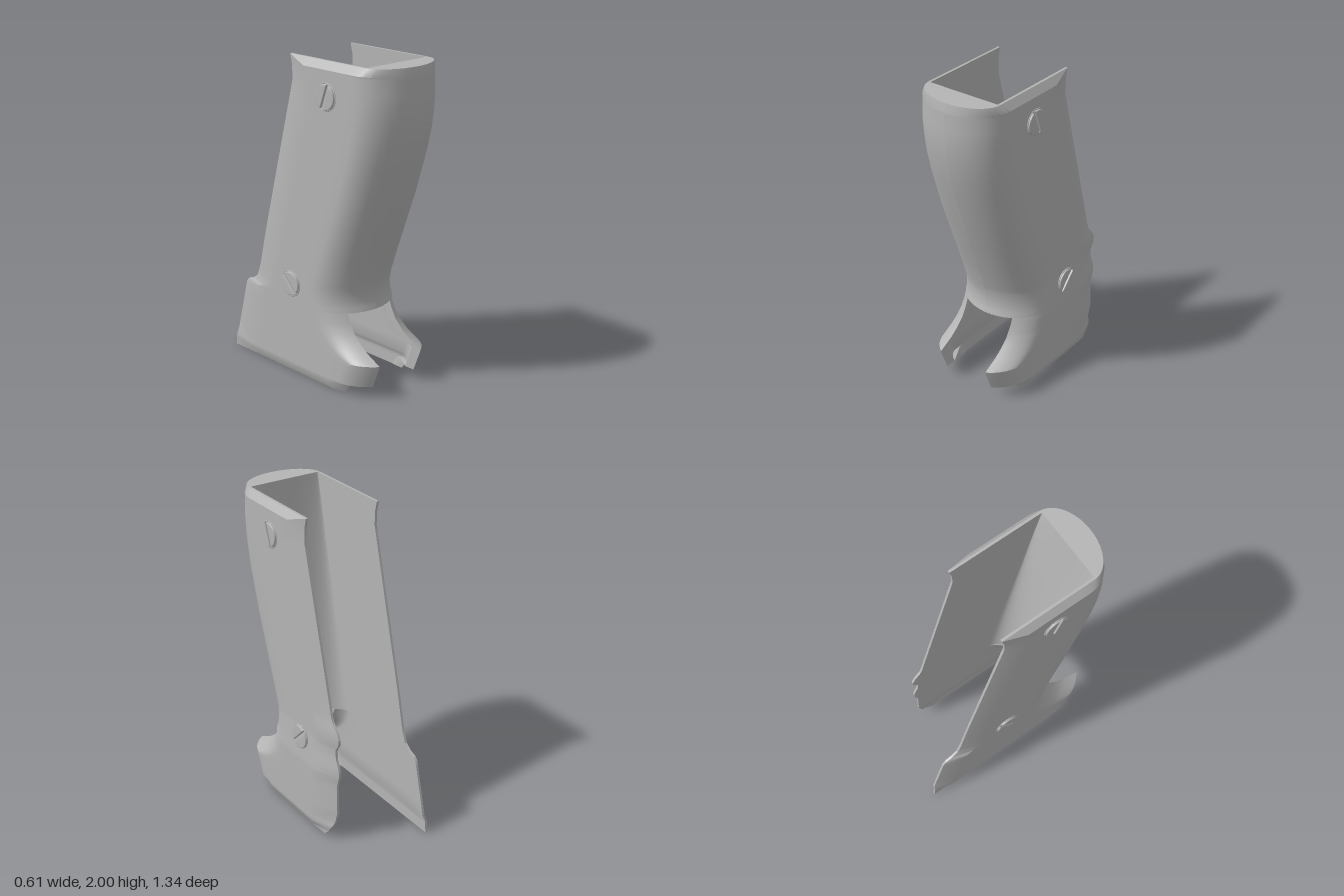
import * as THREE from 'three';
import { toCreasedNormals } from 'three/addons/utils/BufferGeometryUtils.js';

const ARC = 10, SIDE = 7;

// Piecewise-linear lookup in a table of [y, value], highest y first
function at(table, y) {
  if (y >= table[0][0]) return table[0][1];
  for (let i = 1; i < table.length; i++) {
    const [y0, v0] = table[i - 1], [y1, v1] = table[i];
    if (y >= y1) return v1 + (v0 - v1) * (y - y1) / (y0 - y1);
  }
  return table[table.length - 1][1];
}

// Front edge of the strap, and of the forked foot below it
const STRAP = [[2, .655], [1.95, .665], [1.8, .672], [1.7, .665], [1.6, .65], [1.5, .628], [1.4, .6], [1.2, .54],
  [1, .47], [.8, .4], [.65, .35], [.58, .336], [.52, .342], [.477, .355]];
const FOOT = [[.477, .295], [.42, .318], [.36, .353], [.31, .405], [.27, .46], [.235, .53], [.218, .565], [.2, .56],
  [.07, .51], [.069, .39], [0, .34]];
const ROUND = [[2, .16], [1.95, .22], [.477, .25]];

// Rear edges: wavy on the left plate, long straight heel on the right plate
const REAR_LEFT = [[2, -.12], [1.94, -.105], [1.85, -.102], [.85, -.37], [.81, -.385], [.76, -.43], [.72, -.45],
  [.68, -.445], [.637, -.417], [.58, -.422], [.54, -.44], [.5, -.455], [.46, -.453], [.387, -.433], [.2, -.438],
  [.095, -.406], [.04, -.37], [0, -.33]];
const REAR_RIGHT = [[2, -.12], [1.94, -.105], [1.85, -.102], [.85, -.37], [.62, -.425], [.54, -.455], [.505, -.5],
  [.49, -.545], [.465, -.565], [.12, -.655], [0, -.67]];

const SIDES = [
  { name: 'left', s: 1, rear: REAR_LEFT, cut: .168,
    outer: [[2, .248], [1.955, .28], [.65, .28], [.45, .297], [.05, .295], [0, .27]],
    inner: [[.12, .232], [.08, .25], [0, .25]] },
  { name: 'right', s: -1, rear: REAR_RIGHT, cut: .183,
    outer: [[2, .255], [1.955, .292], [.05, .292], [0, .27]],
    inner: [[.12, .24], [.08, .255], [0, .255]] },
];

// One horizontal slice of half the shell: outer line front to rear, then inner line
function slice(side, y, foot) {
  const xo = at(side.outer, y), xi = at(side.inner, y), rear = at(side.rear, y);
  const start = foot ? (y < .07 ? .245 : side.cut) : 0;
  const zf = at(foot ? FOOT : STRAP, y);
  const zi = foot ? zf - .07 : .275 + .225 * (y - .477) / 1.523;
  const di = foot ? .145 : .145 * (2 - y) / 1.523;
  const line = (xw, z0, depth, tip, taper) => {
    const a0 = Math.asin(Math.min(.99, start / xw)), pts = [];
    for (let i = 0; i <= ARC; i++) {
      const a = a0 + (Math.PI / 2 - a0) * i / ARC;
      pts.push([xw * Math.sin(a), y, z0 - depth * (Math.cos(a0) - Math.cos(a))]);
    }
    const z1 = pts[ARC][2], z2 = rear + taper;
    for (let i = 1; i < SIDE; i++) pts.push([xw, y, z1 + (z2 - z1) * i / (SIDE - 1)]);
    pts.push([tip, y, rear]);
    return pts;
  };
  const out = line(xo, zf, at(ROUND, y), xi + .015, .14);
  const inn = line(xi, zi, di, xi, .14);
  return [...out, ...inn.reverse()].map(([x, h, z]) => [x * side.s, h, z]);
}

// Loft slices downward and cap both ends
function loft(side, foot) {
  const top = foot ? .477 : 2, bottom = foot ? 0 : .477;
  const all = [...side.rear, ...(foot ? FOOT : STRAP), ...side.outer, ...side.inner].map(p => p[0]);
  const ys = [...new Set([...all, top, bottom])].filter(y => y <= top && y >= bottom).sort((a, b) => b - a);
  const rows = ys.map(y => slice(side, y, foot));
  const n = rows[0].length, pos = [];
  const tri = (a, b, c) => side.s > 0 ? pos.push(...a, ...b, ...c) : pos.push(...a, ...c, ...b);
  for (let i = 0; i < rows.length - 1; i++) {
    for (let j = 0; j < (foot ? n : n - 1); j++) {
      const k = (j + 1) % n, r = rows[i], q = rows[i + 1];
      tri(r[j], q[j], r[k]);
      tri(r[k], q[j], q[k]);
    }
  }
  const t = rows[0], b = rows[rows.length - 1];
  for (let j = 0; j < n / 2 - 1; j++) {
    const m = n - 1 - j;
    tri(t[j], t[j + 1], t[m - 1]);
    tri(t[j], t[m - 1], t[m]);
    tri(b[j], b[m - 1], b[j + 1]);
    tri(b[j], b[m], b[m - 1]);
  }
  const geo = new THREE.BufferGeometry();
  geo.setAttribute('position', new THREE.Float32BufferAttribute(pos, 3));
  return toCreasedNormals(geo, .55);
}

// Slotted screw: two half discs with a gap, inside a thin rim
function screw(material, name) {
  const g = new THREE.Group();
  g.name = name;
  const R = .07, gap = Math.asin(.014 / R);
  const half = new THREE.Shape();
  half.absarc(0, 0, R, gap, Math.PI - gap, false);
  const geo = new THREE.ExtrudeGeometry(half, { depth: .018, bevelEnabled: true, bevelThickness: .006,
    bevelSize: .006, bevelSegments: 2, curveSegments: 16 });
  for (const turn of [0, Math.PI]) {
    const m = new THREE.Mesh(geo, material);
    m.name = 'screwHeadHalf';
    m.rotation.z = turn;
    g.add(m);
  }
  const rim = new THREE.Mesh(new THREE.TorusGeometry(.08, .004, 6, 28), material);
  rim.name = 'screwRim';
  rim.position.z = .011;
  g.add(rim);
  return g;
}

export function createModel() {
  const model = new THREE.Group();
  model.name = 'gripShell';
  const grey = new THREE.MeshStandardMaterial({ color: 0xb4b4b4 });
  grey.name = 'grey';

  for (const side of SIDES) {
    // Upper half of the U-shaped shell, and the forked foot under it
    for (const foot of [false, true]) {
      const mesh = new THREE.Mesh(loft(side, foot), grey);
      mesh.name = side.name + (foot ? 'Foot' : 'GripHalf');
      model.add(mesh);
    }
    // Two screws on each plate
    for (const [part, y, z, turn] of [['UpperScrew', 1.8, .22, 1.92], ['LowerScrew', .59, -.095, .8]]) {
      const g = screw(grey, side.name + part);
      g.position.set(side.s * (at(side.outer, y) - .01), y, z);
      g.rotation.set(0, side.s * Math.PI / 2, side.s * turn, 'YXZ');
      model.add(g);
    }
  }
  return model;
}
